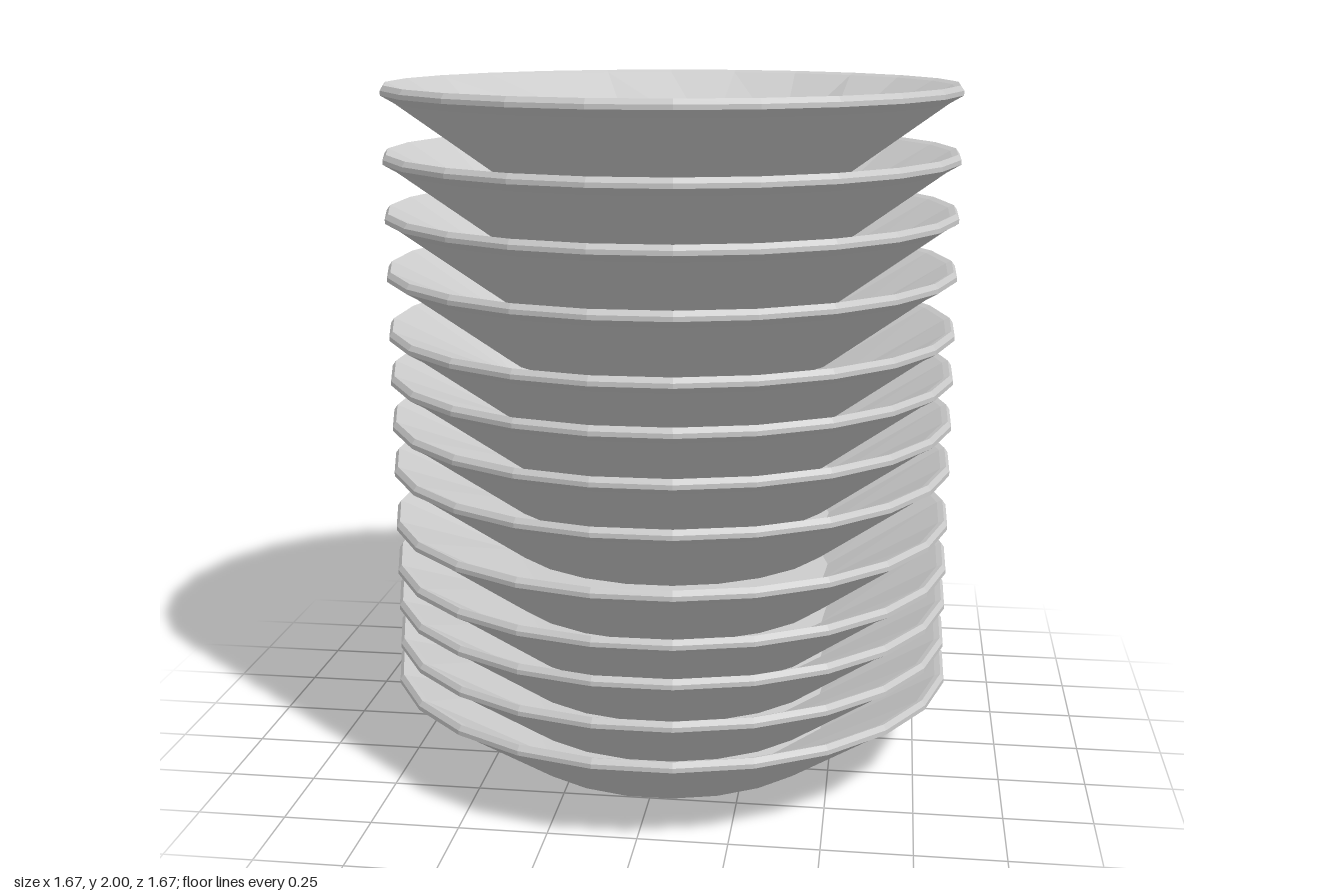
import * as THREE from 'three';

const SIDES = 24;
const BOWL_HEIGHT = 0.267;
const FLOOR_Y = 0.07;

// Corners (x, z) of the uneven, low-poly inner floor
const FLOOR_CORNERS = [
  [-0.5, -0.05], [-0.19, -0.45], [0.06, -0.48], [0.29, -0.46], [0.43, -0.25],
  [0.48, -0.04], [0.47, 0.11], [0.26, 0.43], [-0.04, 0.48], [-0.31, 0.4],
].map(([x, z]) => new THREE.Vector2(x, z));

function nearestCorner(x, z) {
  const p = new THREE.Vector2(x, z);
  return FLOOR_CORNERS.reduce((a, b) => (b.distanceTo(p) < a.distanceTo(p) ? b : a));
}

// One bowl: base, flared wall, bevelled rim, inner wall and floor
function bowlGeometry() {
  const profile = [
    [0, 0], [0.5, 0], [0.802, 0.217], [0.842, 0.24], [0.842, 0.253],
    [0.832, BOWL_HEIGHT], [0.815, 0.26], [0.48, FLOOR_Y], [0, FLOOR_Y],
  ].map(([r, y]) => new THREE.Vector2(r, y));
  const lathe = new THREE.LatheGeometry(profile, SIDES, Math.PI / SIDES);

  // Snap the floor edge to its few corners, giving broad inner facets
  const pos = lathe.attributes.position;
  for (let i = 0; i < pos.count; i++) {
    if (i % profile.length !== 7) continue;
    const c = nearestCorner(pos.getX(i), pos.getZ(i));
    pos.setX(i, c.x);
    pos.setZ(i, c.y);
  }
  const flat = lathe.toNonIndexed();
  flat.computeVertexNormals();
  return flat;
}

export function createModel() {
  const group = new THREE.Group();
  group.name = 'bowlStack';
  const ceramic = new THREE.MeshStandardMaterial({ color: 0xcccccc, flatShading: true });
  ceramic.name = 'paleGreyCeramic';
  const geometry = bowlGeometry();

  // Rim heights from the bottom bowl to the top one
  const rims = [0.267, 0.38, 0.5, 0.61, 0.745, 0.91, 1.045, 1.18, 1.31, 1.48, 1.645, 1.81, 2];
  rims.forEach((rim, i) => {
    const bowl = new THREE.Mesh(geometry, ceramic);
    bowl.name = `bowl${i + 1}`;
    bowl.position.y = rim - BOWL_HEIGHT;
    // The bottom bowl is very slightly wider
    if (i > 0) bowl.scale.set(0.992, 1, 0.992);
    group.add(bowl);
  });
  return group;
}
